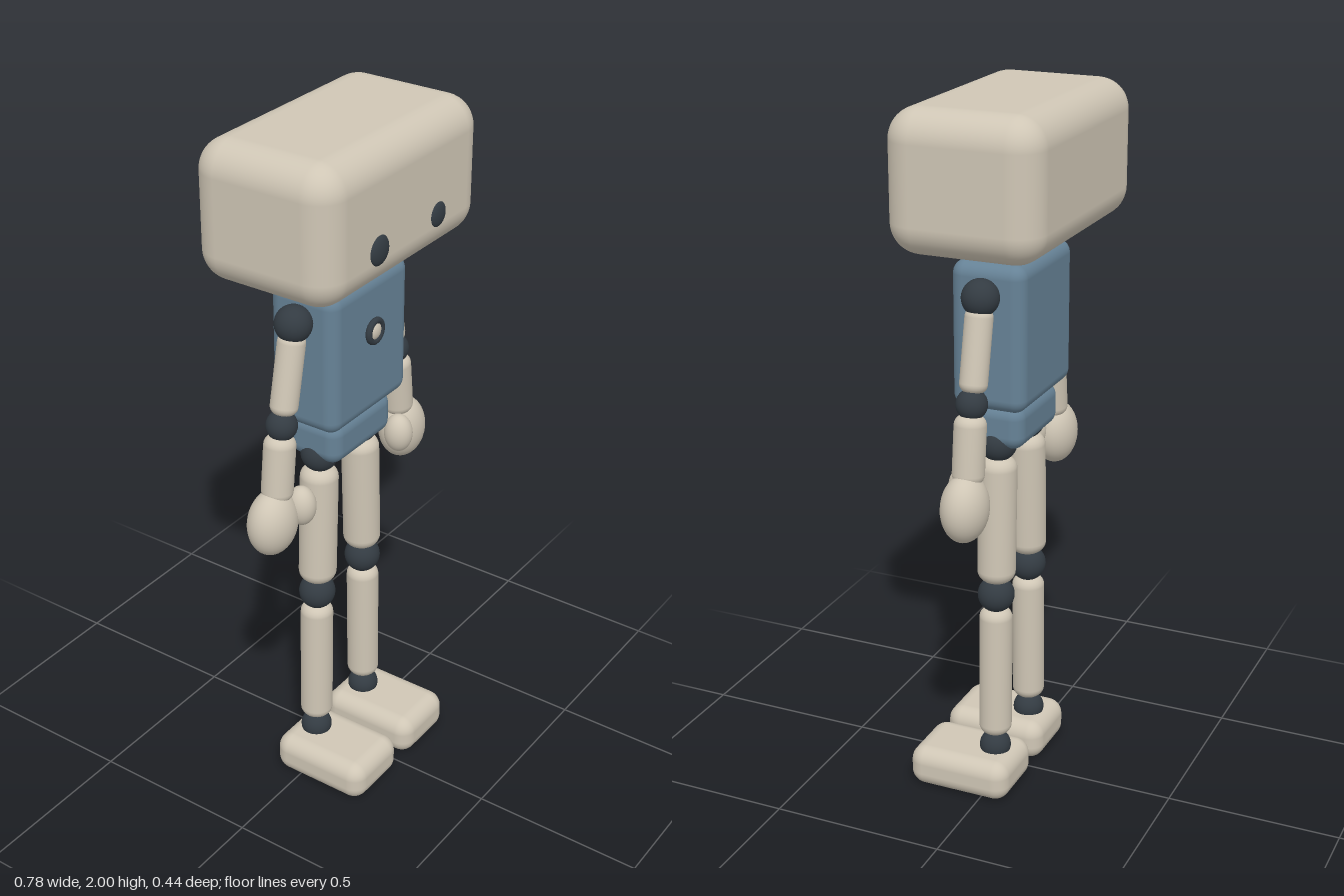
import * as THREE from 'three';
import { RoundedBoxGeometry } from 'three/addons/geometries/RoundedBoxGeometry.js';

export function createModel() {
  const mat = (name, color) => {
    const m = new THREE.MeshStandardMaterial({ color });
    m.name = name;
    return m;
  };
  const cream = mat('cream shell', 0xcfc6b5);
  const blue = mat('blue body', 0x668296);
  const dark = mat('dark joint', 0x333b42);

  const robot = new THREE.Group();
  robot.name = 'robot';
  const Z = -0.007; // depth of the body's centre line

  const add = (name, geometry, material, x, y, z = Z) => {
    const mesh = new THREE.Mesh(geometry, material);
    mesh.name = name;
    mesh.position.set(x, y, z);
    robot.add(mesh);
    return mesh;
  };
  const box = (name, material, w, h, d, r, x, y, z) =>
    add(name, new RoundedBoxGeometry(w, h, d, 6, r), material, x, y, z);
  const ball = (name, material, rx, ry, rz, x, y, z) => {
    const mesh = add(name, new THREE.SphereGeometry(1, 32, 20), material, x, y, z);
    mesh.scale.set(rx, ry, rz);
    return mesh;
  };

  // Limb segment: a cylinder with rounded rims, running between two points
  const limb = (name, r, x0, y0, x1, y1) => {
    const a = new THREE.Vector3(x0, y0, Z);
    const b = new THREE.Vector3(x1, y1, Z);
    const half = a.distanceTo(b) / 2;
    const bevel = r * 0.65;
    const profile = [new THREE.Vector2(0, -half)];
    for (const end of [-1, 1]) {
      for (let i = 0; i <= 6; i++) {
        const t = ((end < 0 ? i : 6 - i) / 6) * Math.PI / 2;
        profile.push(new THREE.Vector2(
          r - bevel + bevel * Math.sin(t),
          end * (half - bevel + bevel * Math.cos(t))));
      }
    }
    profile.push(new THREE.Vector2(0, half));
    const mid = a.clone().add(b).multiplyScalar(0.5);
    const mesh = add(name, new THREE.LatheGeometry(profile, 28), cream, mid.x, mid.y);
    mesh.quaternion.setFromUnitVectors(new THREE.Vector3(0, 1, 0), a.sub(b).normalize());
  };

  // Head, neck and trunk
  box('head', cream, 0.71, 0.38, 0.43, 0.085, 0, 1.81);
  add('neck', new THREE.CylinderGeometry(0.056, 0.056, 0.1, 28), dark, 0, 1.6);
  box('torso', blue, 0.354, 0.408, 0.212, 0.038, 0, 1.376);
  box('pelvis', blue, 0.276, 0.126, 0.168, 0.038, 0, 1.115);

  // Eyes, the right one a little larger
  ball('rightEye', dark, 0.041, 0.041, 0.016, -0.135, 1.735, 0.205);
  ball('leftEye', dark, 0.035, 0.035, 0.013, 0.134, 1.735, 0.205);

  // Chest button with its dark rim
  add('buttonRim', new THREE.TorusGeometry(0.03, 0.009, 12, 32), dark, 0, 1.425, 0.107);
  ball('button', cream, 0.027, 0.027, 0.016, 0, 1.425, 0.102);

  // Arms and legs, mirrored
  for (const [side, s] of [['left', 1], ['right', -1]]) {
    ball(side + 'Shoulder', dark, 0.051, 0.051, 0.051, s * 0.207, 1.5);
    limb(side + 'UpperArm', 0.038, s * 0.211, 1.475, s * 0.258, 1.255);
    ball(side + 'Elbow', dark, 0.043, 0.043, 0.043, s * 0.265, 1.226);
    limb(side + 'Forearm', 0.044, s * 0.272, 1.2, s * 0.293, 1.01);
    ball(side + 'Hand', cream, 0.079, 0.095, 0.064, s * 0.313, 0.95).rotation.z = s * 0.1;
    ball(side + 'Thumb', cream, 0.04, 0.058, 0.042, s * 0.236, 0.976, 0.032);

    ball(side + 'Hip', dark, 0.053, 0.053, 0.053, s * 0.096, 1.06);
    limb(side + 'Thigh', 0.054, s * 0.098, 1.02, s * 0.111, 0.648);
    ball(side + 'Knee', dark, 0.052, 0.052, 0.052, s * 0.113, 0.609);
    limb(side + 'Shin', 0.047, s * 0.115, 0.568, s * 0.121, 0.17);
    ball(side + 'Ankle', dark, 0.045, 0.045, 0.045, s * 0.122, 0.13);
    box(side + 'Foot', cream, 0.218, 0.12, 0.305, 0.045, s * 0.127, 0.06, 0.07);
  }
  return robot;
}
